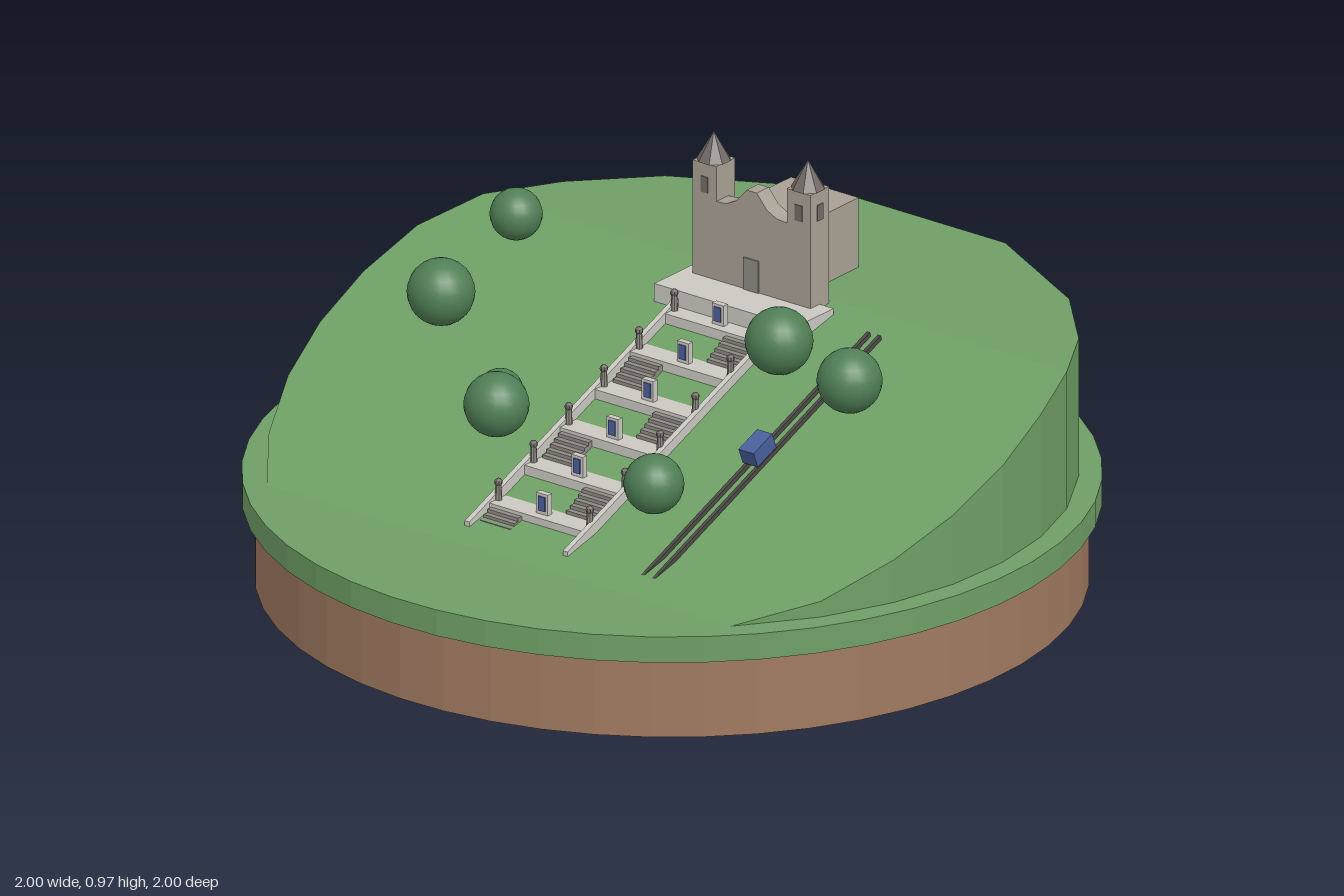
import * as THREE from 'three';

const mat = (name, color, flatShading = true) => {
  const m = new THREE.MeshStandardMaterial({ color, flatShading });
  m.name = name;
  return m;
};

export function createModel() {
  const grass = mat('grass', 0x6f9f65);
  const earth = mat('earth', 0xa07a60);
  const foliage = mat('foliage', 0x4f7f55, false);
  const stone = mat('church stone', 0xa8a094);
  const darkStone = mat('dark stone', 0x726b66);
  const paleStone = mat('pale stone', 0xcbc8c1);
  const stepStone = mat('step stone', 0x8f8a84);
  const iron = mat('iron', 0x4c4a47);
  const blue = mat('blue', 0x4a5f9c);

  const model = new THREE.Group();
  // everything on the hill is aligned with the slope, +z downhill
  const site = new THREE.Group();
  site.name = 'hillside';
  site.rotation.y = -0.35;
  model.add(site);

  const add = (parent, name, geometry, material, x = 0, y = 0, z = 0) => {
    const mesh = new THREE.Mesh(geometry, material);
    mesh.name = name;
    mesh.position.set(x, y, z);
    parent.add(mesh);
    return mesh;
  };
  const box = (parent, name, w, h, d, material, x, y, z) =>
    add(parent, name, new THREE.BoxGeometry(w, h, d), material, x, y, z);

  // round base
  add(model, 'earthBase', new THREE.CylinderGeometry(0.97, 0.97, 0.2, 48), earth, 0, 0.1, 0);
  add(model, 'grassDisc', new THREE.CylinderGeometry(1, 1, 0.065, 48), grass, 0, 0.2325, 0);

  // hill: upright slices across a circle, following the slope profile
  const SLOPE = 0.265 / 0.675;
  const ramp = z => 0.305 + (0.475 - z) * SLOPE;
  const hillY = z => {
    if (z > 0.475) return 0.265 + (0.65 - z) / 0.175 * 0.04;
    if (z > -0.2) return ramp(z);
    return Math.min(0.61, 0.57 + (-0.2 - z) / 0.18 * 0.04);
  };
  const sections = [];
  for (let i = 0; i < 10; i++) {
    const z = -0.905 + i * 1.555 / 9;
    const w = Math.sqrt(0.945 ** 2 - z * z), y = hillY(z);
    sections.push([[-w, 0.25, z], [-w, y, z], [w, y, z], [w, 0.25, z]]);
  }
  const verts = [];
  const quad = (a, b, c, d) => verts.push(...a, ...b, ...c, ...a, ...c, ...d);
  for (let i = 0; i < 9; i++) {
    const s = sections[i], n = sections[i + 1];
    for (let k = 0; k < 3; k++) quad(s[k], n[k], n[k + 1], s[k + 1]);
  }
  quad(...sections[0]);
  const hill = new THREE.BufferGeometry();
  hill.setAttribute('position', new THREE.Float32BufferAttribute(verts, 3));
  hill.computeVertexNormals();
  add(site, 'hill', hill, grass);

  // trees: x, y, z, radius
  [[-0.53, 0.66, -0.455, 0.062], [-0.63, 0.553, -0.2, 0.08], [-0.37, 0.455, 0.18, 0.077],
    [-0.385, 0.455, 0.105, 0.055], [0.1, 0.42, 0.44, 0.071], [0.465, 0.59, 0.095, 0.077],
    [0.25, 0.61, -0.035, 0.08]].forEach(([x, y, z, r]) => {
    add(model, 'treeCrown', new THREE.SphereGeometry(r, 20, 14), foliage, x, y, z);
  });

  // church
  const church = new THREE.Group();
  church.name = 'church';
  church.position.set(-0.005, 0, -0.34);
  site.add(church);
  box(church, 'nave', 0.2, 0.195, 0.24, stone, 0, 0.6875, -0.12);
  const front = new THREE.Shape();
  front.moveTo(-0.14, 0.59);
  front.lineTo(0.14, 0.59);
  [[0.14, 0.81], [0.075, 0.815], [0.045, 0.83], [0.015, 0.865], [-0.015, 0.865], [-0.045, 0.83],
    [-0.075, 0.815], [-0.14, 0.81]].forEach(p => front.lineTo(...p));
  add(church, 'facade', new THREE.ExtrudeGeometry(front, { depth: 0.045, bevelEnabled: false }),
    stone, 0, 0, -0.01);
  box(church, 'door', 0.045, 0.08, 0.006, stepStone, 0, 0.655, 0.036);
  for (const s of [-1, 1]) {
    const x = s * 0.139;
    box(church, 'tower', 0.07, 0.31, 0.07, stone, x, 0.745, 0);
    const spire = add(church, 'spire', new THREE.ConeGeometry(0.041, 0.07, 8), darkStone, x, 0.935, 0);
    spire.rotation.y = Math.PI / 8;
    box(church, 'belfryOpening', 0.022, 0.04, 0.006, darkStone, x, 0.847, 0.034);
    box(church, 'sideBelfryOpening', 0.006, 0.04, 0.022, darkStone, x + s * 0.034, 0.847, 0);
  }
  box(site, 'forecourt', 0.42, 0.045, 0.14, paleStone, 0, 0.5925, -0.27);

  // stairway: terraces with tiled panels, alternating flights between them
  const stairs = new THREE.Group();
  stairs.name = 'stairway';
  site.add(stairs);
  const PITCH = 0.132;
  for (let i = 0; i < 6; i++) {
    const z = -0.18 + i * PITCH, y = ramp(z) + 0.012;
    box(stairs, 'terrace', 0.29, 0.026, 0.06, paleStone, 0, y - 0.013, z);
    box(stairs, 'panelBlock', 0.034, 0.052, 0.016, paleStone, 0, y + 0.026, z);
    box(stairs, 'tilePanel', 0.02, 0.036, 0.006, blue, 0, y + 0.027, z + 0.008);
    for (const s of [-1, 1]) {
      add(stairs, 'post', new THREE.CylinderGeometry(0.007, 0.009, 0.045, 8), stepStone,
        s * 0.135, y + 0.02, z);
      add(stairs, 'postCap', new THREE.SphereGeometry(0.01, 8, 6), darkStone, s * 0.135, y + 0.044, z);
    }
    const side = i % 2 ? -1 : 1;
    for (let k = 0; k < 5; k++) {
      const sz = z + 0.03 + (k + 0.5) * 0.0145;
      box(stairs, 'step', 0.09, 0.03, 0.0145, stepStone, side * 0.087, y - (k + 1) * 0.0087 - 0.015, sz);
    }
  }

  // sloping side walls of the stairway
  const wall = new THREE.Shape();
  const z0 = -0.2, z1 = 0.585;
  wall.moveTo(z0, ramp(z0) - 0.02);
  wall.lineTo(z1, ramp(z1) - 0.005);
  wall.lineTo(z1, ramp(z1) + 0.03);
  wall.lineTo(z0, ramp(z0) + 0.025);
  const wallGeo = new THREE.ExtrudeGeometry(wall, { depth: 0.014, bevelEnabled: false });
  wallGeo.rotateY(-Math.PI / 2);
  for (const x of [-0.138, 0.152]) add(stairs, 'sideWall', wallGeo, paleStone, x, 0, 0);

  // funicular track and car
  const funicular = new THREE.Group();
  funicular.name = 'funicular';
  funicular.position.set(0.378, ramp(0.147) + 0.006, 0.147);
  funicular.rotation.x = Math.atan(SLOPE);
  site.add(funicular);
  for (const s of [-1, 1]) box(funicular, 'rail', 0.009, 0.012, 0.92, iron, s * 0.016, 0.003, 0);
  box(funicular, 'car', 0.045, 0.042, 0.075, blue, 0, 0.034, 0);

  return model;
}
